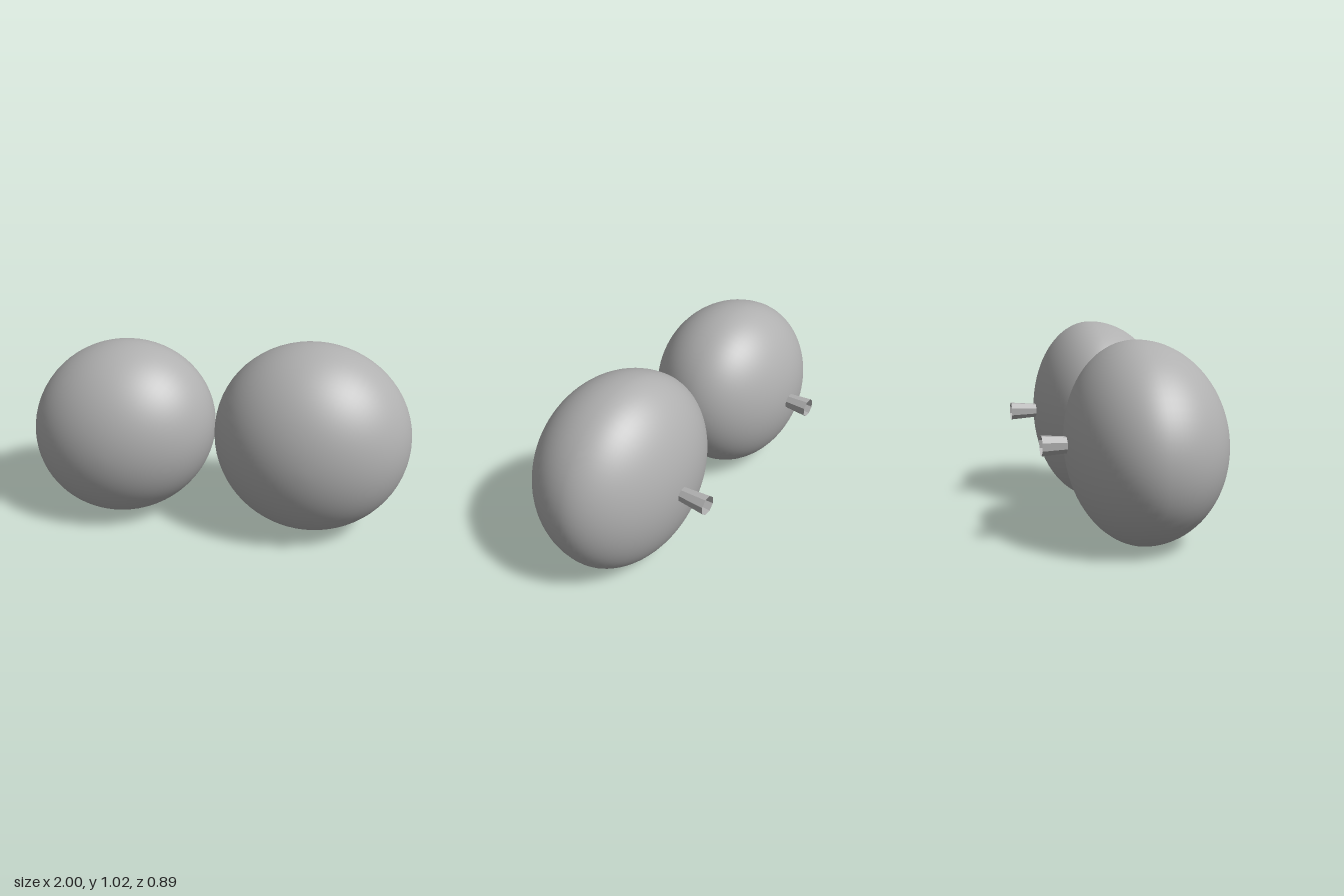
import * as THREE from 'three';
import { mergeVertices } from 'three/addons/utils/BufferGeometryUtils.js';

// Smooth ellipsoid, deeper at the front than at the back, with a slight lean
function bulbGeometry(rx, ry, front, back, lean) {
  const base = new THREE.SphereGeometry(1, 64, 48).rotateX(Math.PI / 2);
  base.deleteAttribute('uv');
  base.deleteAttribute('normal');
  const geo = mergeVertices(base, 1e-4);
  const p = geo.attributes.position;
  for (let i = 0; i < p.count; i++) {
    const x = p.getX(i), y = p.getY(i), z = p.getZ(i);
    p.setXYZ(i, x * rx + lean * y, y * ry + lean * x, z * (z > 0 ? front : back));
  }
  geo.computeVertexNormals();
  return geo;
}

export function createModel() {
  const model = new THREE.Group();
  model.name = 'roundPair';
  const grey = new THREE.MeshStandardMaterial({ color: 0xb0b0b0, side: THREE.DoubleSide });
  grey.name = 'plain grey';
  const stemGrey = grey;

  const items = [
    { name: 'left', x: 0.49, y: 0.513, rx: 0.507, ry: 0.508, zf: 0.445, zb: -0.31, lean: 0, stemX: 0.488 },
    { name: 'right', x: -0.511, y: 0.483, rx: 0.489, ry: 0.48, zf: 0.435, zb: -0.333, lean: 0.02, stemX: -0.511 },
  ];
  const zMid = 0.017;

  for (const s of items) {
    const group = new THREE.Group();
    group.name = s.name + 'Unit';

    // Rounded body
    const body = new THREE.Mesh(bulbGeometry(s.rx, s.ry, s.zf - zMid, zMid - s.zb, s.lean), grey);
    body.name = s.name + 'Body';
    body.position.set(s.x, s.y, zMid);
    group.add(body);

    // Open, faceted tube flaring towards the back
    const tube = new THREE.CylinderGeometry(0.037, 0.05, 0.16, 8, 1, true, Math.PI / 8)
      .rotateX(Math.PI / 2).toNonIndexed();
    tube.computeVertexNormals();
    const stem = new THREE.Mesh(tube, stemGrey);
    stem.name = s.name + 'Stem';
    stem.position.set(s.stemX, s.y + 0.001, -0.37);
    group.add(stem);

    model.add(group);
  }
  return model;
}
